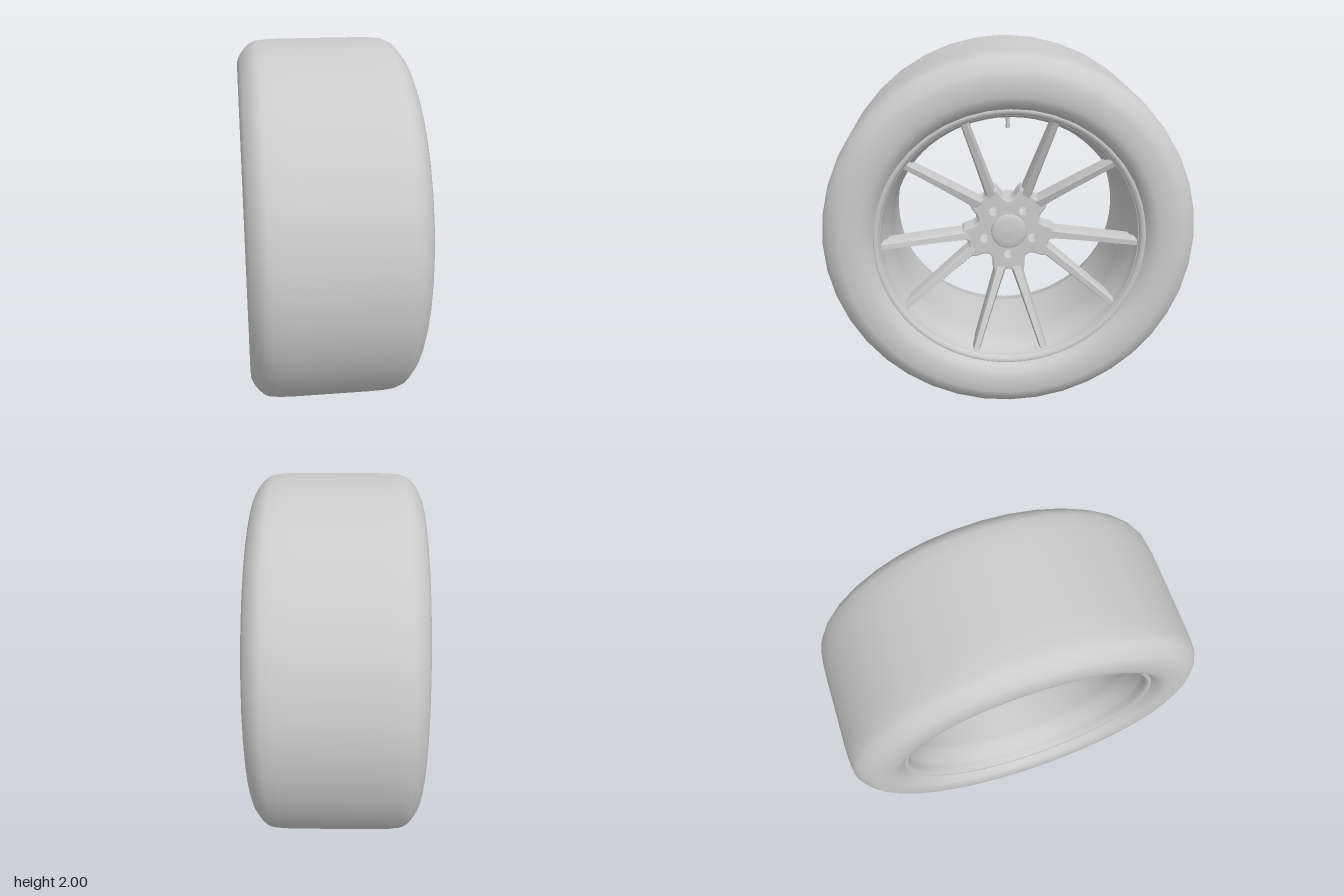
import * as THREE from 'three';

const SEG = 40;
const PAIRS = 5;
const material = new THREE.MeshStandardMaterial({ color: 0xcccccc, side: THREE.DoubleSide });

function add(parent, name, geometry) {
  const mesh = new THREE.Mesh(geometry, material);
  mesh.name = name;
  parent.add(mesh);
  return mesh;
}

// Revolve [radius, depth] points about the axle (local z)
function revolve(profile, segments = SEG) {
  const points = profile.map(([r, d]) => new THREE.Vector2(r, d));
  return new THREE.LatheGeometry(points, segments).rotateX(Math.PI / 2);
}

const polar = (r, a) => new THREE.Vector2(r * Math.sin(a), r * Math.cos(a));
const pairAngle = (i) => ((i + 0.5) * 2 * Math.PI) / PAIRS;

function circlePath(x, y, r) {
  return new THREE.Path().absarc(x, y, r, 0, Math.PI * 2, true);
}

function addLugHoles(shape) {
  for (let i = 0; i < PAIRS; i++) {
    const c = polar(0.14, pairAngle(i));
    shape.holes.push(circlePath(c.x, c.y, 0.036));
  }
}

// One tapering spoke; side is +1 or -1 within its pair
function spokeGeometry(side) {
  const geometry = new THREE.BoxGeometry(1, 1, 1, 1, 10, 2);
  const p = geometry.attributes.position;
  const lerp = THREE.MathUtils.lerp;
  for (let i = 0; i < p.count; i++) {
    const t = p.getY(i) + 0.5;
    const z = p.getZ(i);
    const front = lerp(0.195, 0.355, t);
    const back = lerp(0.09, 0.25, Math.pow(t, 1.2));
    const width = lerp(0.075, 0.046, Math.sqrt(t));
    // narrow front face, chamfer behind it, slight taper at the back
    const scale = z > 0.25 ? 0.6 : z > -0.25 ? 1 : 0.8;
    const depth = z > 0.25 ? front : z > -0.25 ? front - 0.03 : back;
    const x = side * lerp(0.037, 0.192, t) + p.getX(i) * width * scale;
    p.setXYZ(i, x, lerp(0.2, 0.665, t), depth);
  }
  geometry.computeVertexNormals();
  return geometry;
}

export function createModel() {
  const model = new THREE.Group();
  model.name = 'wheel';
  const wheel = new THREE.Group();
  wheel.name = 'wheelAssembly';
  wheel.rotation.y = Math.PI / 2;
  wheel.position.y = 1;
  model.add(wheel);

  // Tire: mirrored half profile from bead to tread
  const half = [
    [0.70, 0.36], [0.72, 0.385], [0.735, 0.405], [0.76, 0.428], [0.79, 0.438], [0.83, 0.442],
    [0.885, 0.44], [0.92, 0.425], [0.955, 0.398], [0.98, 0.37], [0.992, 0.34], [0.998, 0.28], [1, 0.2],
  ];
  const mirrored = half.map(([r, d]) => [r, -d]);
  add(wheel, 'tire', revolve([...mirrored, ...half.slice().reverse()]));

  // Rim barrel with stepped seats, and a rolled lip on each side
  add(wheel, 'rimBarrel', revolve([
    [0.69, -0.37], [0.685, -0.32], [0.66, -0.3], [0.655, -0.25], [0.638, -0.22],
    [0.638, 0.16], [0.65, 0.2], [0.655, 0.27], [0.675, 0.3], [0.685, 0.35], [0.69, 0.37],
  ], 64));
  for (const s of [-1, 1]) {
    add(wheel, s > 0 ? 'frontLip' : 'backLip', revolve([
      [0.685, 0.35 * s], [0.69, 0.375 * s], [0.7, 0.388 * s], [0.716, 0.392 * s],
      [0.724, 0.385 * s], [0.726, 0.36 * s],
    ], 64));
  }
  // Thin step line inside the front lip
  const step = add(wheel, 'lipStep', new THREE.TorusGeometry(0.69, 0.007, 6, 64));
  step.position.z = 0.362;

  // Star-shaped hub, rounded valleys between the spoke roots
  const outline = [];
  for (let i = 0; i < PAIRS; i++) {
    for (const [deg, r] of [[-36, 0.178], [-28, 0.192], [-20, 0.25], [-12, 0.265], [0, 0.232],
      [12, 0.265], [20, 0.25], [28, 0.192]]) {
      const v = polar(r, pairAngle(i) + THREE.MathUtils.degToRad(deg));
      outline.push(new THREE.Vector3(v.x, v.y, 0));
    }
  }
  const curve = new THREE.CatmullRomCurve3(outline, true);
  const star = new THREE.Shape(curve.getPoints(160).slice(0, -1).map((v) => new THREE.Vector2(v.x, v.y)));
  addLugHoles(star);
  const hub = add(wheel, 'hub', new THREE.ExtrudeGeometry(star, {
    depth: 0.1, bevelThickness: 0.01, bevelSize: 0.01, bevelOffset: -0.01, bevelSegments: 2, curveSegments: 16,
  }));
  hub.position.z = 0.09;

  // Mounting pad behind the hub, with centre bore
  const pad = new THREE.Shape().absarc(0, 0, 0.18, 0, Math.PI * 2, false);
  addLugHoles(pad);
  pad.holes.push(circlePath(0, 0, 0.075));
  const padMesh = add(wheel, 'mountingPad', new THREE.ExtrudeGeometry(pad, {
    depth: 0.06, bevelEnabled: false, curveSegments: 20,
  }));
  padMesh.position.z = 0.03;

  // Centre cap, gently domed
  add(wheel, 'centreCap', revolve([
    [0.097, 0.19], [0.097, 0.212], [0.09, 0.219], [0.06, 0.224], [0, 0.227],
  ], 32));

  // Five pairs of spokes
  for (let i = 0; i < PAIRS; i++) {
    const pair = new THREE.Group();
    pair.name = 'spokePair';
    pair.rotation.z = -pairAngle(i);
    for (const side of [-1, 1]) add(pair, 'spoke', spokeGeometry(side));
    wheel.add(pair);
  }

  // Valve stem at the top of the barrel
  const valve = new THREE.Group();
  valve.name = 'valve';
  valve.position.set(0, 0.6, 0.08);
  add(valve, 'valveStem', new THREE.CylinderGeometry(0.013, 0.009, 0.08, 12));
  add(valve, 'valveCap', new THREE.CylinderGeometry(0.012, 0.011, 0.025, 12)).position.y = -0.035;
  wheel.add(valve);

  return model;
}
